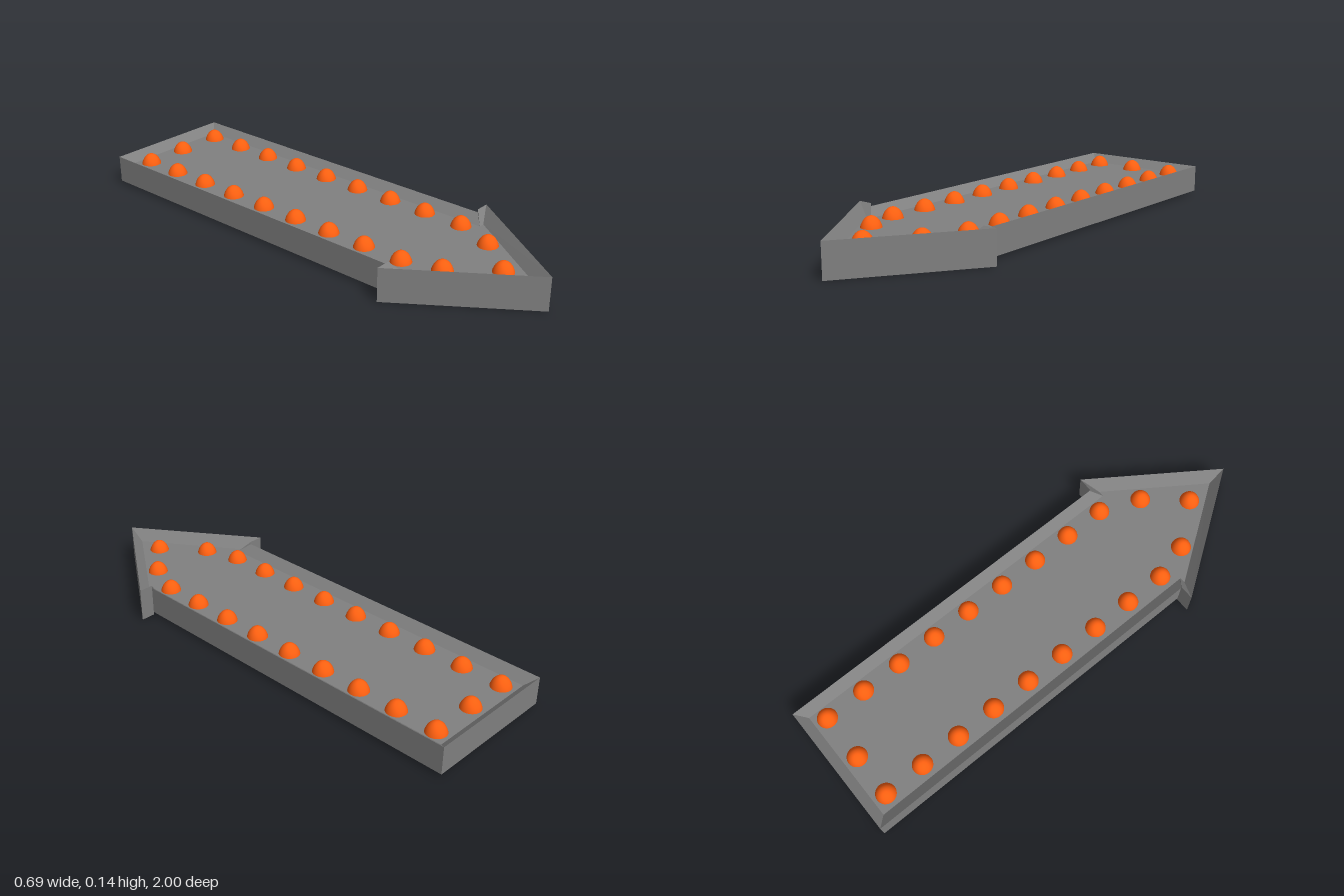
import * as THREE from 'three';

const grey = new THREE.MeshStandardMaterial({ color: 0x808080, flatShading: true });
const orange = new THREE.MeshStandardMaterial({ color: 0xff6010 });

// Right half of the arrow outline: outer x, z, inner x, z, half height of the rim
const half = [
  [0.283, -1, 0.242, -0.96, 0.057],
  [0.283, 0.505, 0.242, 0.545, 0.057],
  [0.283, 0.505, 0.242, 0.545, 0.069],
  [0.343, 0.505, 0.266, 0.545, 0.069],
];
const MID = 0.069, TOP = 0.092, BOTTOM = 0.036;
const mirrored = half.map(([a, b, c, d, h]) => [-a, b, -c, d, h]).reverse();
const outline = [...half, [0, 1, 0, 0.93, 0.069], ...mirrored];

// Vertical wall with a bevel running inward to each panel
function createFrame() {
  const rings = [
    outline.map((p) => [p[2], TOP, p[3]]),
    outline.map((p) => [p[0], MID + p[4], p[1]]),
    outline.map((p) => [p[0], MID - p[4], p[1]]),
    outline.map((p) => [p[2], BOTTOM, p[3]]),
  ];
  const pos = [];
  for (let j = 0; j < 3; j++) {
    for (let i = 0; i < outline.length; i++) {
      const k = (i + 1) % outline.length;
      const [a, b, c, d] = [rings[j][i], rings[j][k], rings[j + 1][k], rings[j + 1][i]];
      pos.push(...a, ...b, ...c, ...a, ...c, ...d);
    }
  }
  const geo = new THREE.BufferGeometry();
  geo.setAttribute('position', new THREE.Float32BufferAttribute(pos, 3));
  geo.computeVertexNormals();
  return geo;
}

// Flat recessed panel; side is 1 for the upper face and -1 for the lower
function createPanel(side, y) {
  const points = outline
    .filter((p, i) => i === 0 || p[2] !== outline[i - 1][2] || p[3] !== outline[i - 1][3])
    .map((p) => new THREE.Vector2(p[2], -side * p[3]));
  const geo = new THREE.ShapeGeometry(new THREE.Shape(points));
  geo.rotateX((-side * Math.PI) / 2);
  geo.translate(0, y, 0);
  return geo;
}

export function createModel() {
  const model = new THREE.Group();
  const add = (name, geo, material) => {
    const mesh = new THREE.Mesh(geo, material);
    mesh.name = name;
    model.add(mesh);
    return mesh;
  };
  add('arrowFrame', createFrame(), grey);
  add('upperPanel', createPanel(1, TOP), grey);
  add('lowerPanel', createPanel(-1, BOTTOM), grey);

  // Bulbs pass through the panels and show on both faces
  const spots = [[0, -0.905], [-0.14, 0.64], [0.13, 0.655], [-0.005, 0.81]];
  for (let i = 0; i < 9; i++) {
    const z = -0.905 + i * 0.174;
    spots.push([-0.183, z], [0.197, z]);
  }
  const bulb = new THREE.SphereGeometry(0.044, 32, 20);
  bulb.scale(1, 0.067 / 0.044, 1);
  spots.forEach(([x, z], i) => add(`bulb${i + 1}`, bulb, orange).position.set(x, MID, z));
  return model;
}
